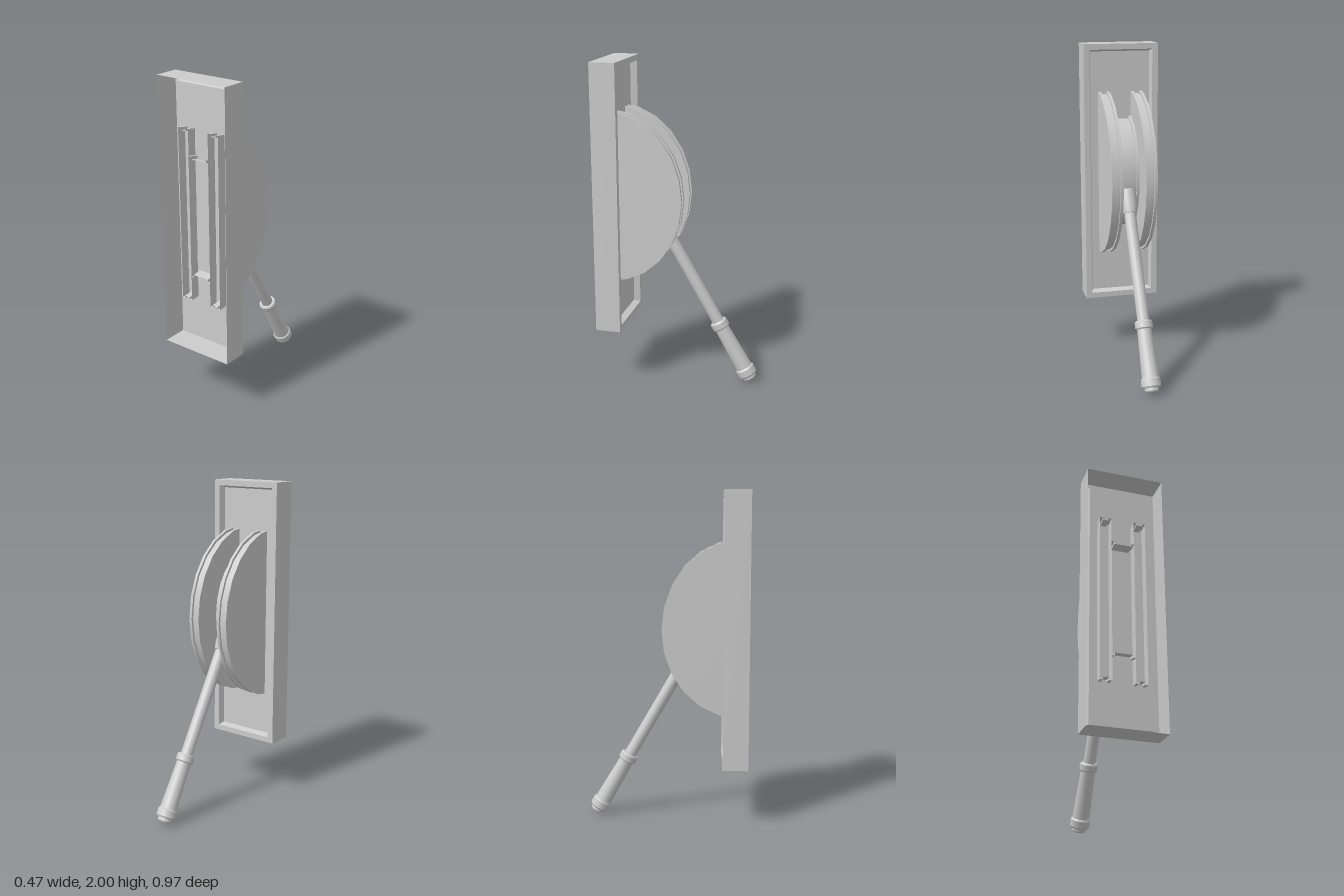
import * as THREE from 'three';
import { toCreasedNormals } from 'three/addons/utils/BufferGeometryUtils.js';

const material = new THREE.MeshStandardMaterial({ color: 0xcccccc, side: THREE.DoubleSide });
const CENTRE_Y = 1.18;
const SHELL_FRONT = 0.428;

function addMesh(parent, name, geometry) {
  const mesh = new THREE.Mesh(geometry, material);
  mesh.name = name;
  parent.add(mesh);
  return mesh;
}

function lathe(profile, segments, start = 0, length = Math.PI * 2) {
  const points = profile.map(([r, y]) => new THREE.Vector2(r, y));
  return new THREE.LatheGeometry(points, segments, start, length);
}

// Wall plate: rectangular rings from the open front, round the back rim, into the recessed panel
function plateGeometry() {
  const rings = [
    [0.237, 0.825, 0.485],
    [0.237, 0.825, 0.33],
    [0.2, 0.79, 0.33],
    [0.189, 0.777, 0.37],
  ].map(([w, h, z]) => [[-w, -h, z], [w, -h, z], [w, h, z], [-w, h, z]]);
  const positions = [];
  const quad = (a, b, c, d) => positions.push(...a, ...b, ...c, ...a, ...c, ...d);
  for (let i = 0; i < rings.length - 1; i++) {
    for (let j = 0; j < 4; j++) {
      const k = (j + 1) % 4;
      quad(rings[i][j], rings[i + 1][j], rings[i + 1][k], rings[i][k]);
    }
  }
  const [a, b, c, d] = rings[rings.length - 1];
  quad(a, d, c, b);
  const geometry = new THREE.BufferGeometry();
  geometry.setAttribute('position', new THREE.Float32BufferAttribute(positions, 3));
  geometry.computeVertexNormals();
  return geometry;
}

// Half-elliptical shell, open at the front, with a groove round its rim
function groovedHalfDisc(radius, floor, halfWidth, halfGroove, depthRatio) {
  const geometry = lathe([
    [0, -halfWidth], [radius, -halfWidth], [radius, -halfGroove], [floor, -halfGroove],
    [floor, halfGroove], [radius, halfGroove], [radius, halfWidth], [0, halfWidth],
  ], 12, Math.PI / 2, Math.PI);
  geometry.rotateZ(Math.PI / 2).scale(1, 1, depthRatio);
  return toCreasedNormals(geometry, Math.PI / 6);
}

export function createModel() {
  const model = new THREE.Group();
  model.name = 'wallLever';

  addMesh(model, 'wallPlate', plateGeometry()).position.y = 1.175;

  // Pair of guide discs either side of the lever
  for (const side of [1, -1]) {
    const disc = addMesh(model, side > 0 ? 'leftGuideDisc' : 'rightGuideDisc',
      groovedHalfDisc(0.53, 0.514, 0.036, 0.018, 0.877));
    disc.position.set(side * 0.106, CENTRE_Y, SHELL_FRONT);
  }

  // Smaller drum that carries the lever
  const hub = addMesh(model, 'hubDrum', groovedHalfDisc(0.375, 0.357, 0.071, 0.054, 0.784));
  hub.position.set(0, CENTRE_Y, SHELL_FRONT);

  // Lever parts, measured along the shaft from the tip
  const lever = new THREE.Group();
  lever.name = 'lever';
  lever.position.set(0, 0.02, -0.45);
  lever.rotation.x = Math.PI / 6;
  model.add(lever);

  const parts = {
    endKnob: [[0, 0], [0.036, 0], [0.043, 0.008], [0.043, 0.03]],
    endCollar: [[0, 0.024], [0.052, 0.024], [0.06, 0.034], [0.06, 0.075], [0.052, 0.085], [0, 0.085]],
    grip: [[0.052, 0.08], [0.044, 0.39]],
    gripCollar: [[0, 0.375], [0.048, 0.375], [0.055, 0.382], [0.055, 0.418], [0.048, 0.427], [0, 0.427]],
    shaft: [[0.037, 0.42], [0.037, 1.14]],
    baseCollar: [[0.036, 1.1], [0.044, 1.1], [0.053, 1.15], [0.053, 1.25], [0, 1.25]],
  };
  for (const [name, profile] of Object.entries(parts)) {
    addMesh(lever, name, toCreasedNormals(lathe(profile, 16), Math.PI / 6));
  }

  return model;
}
